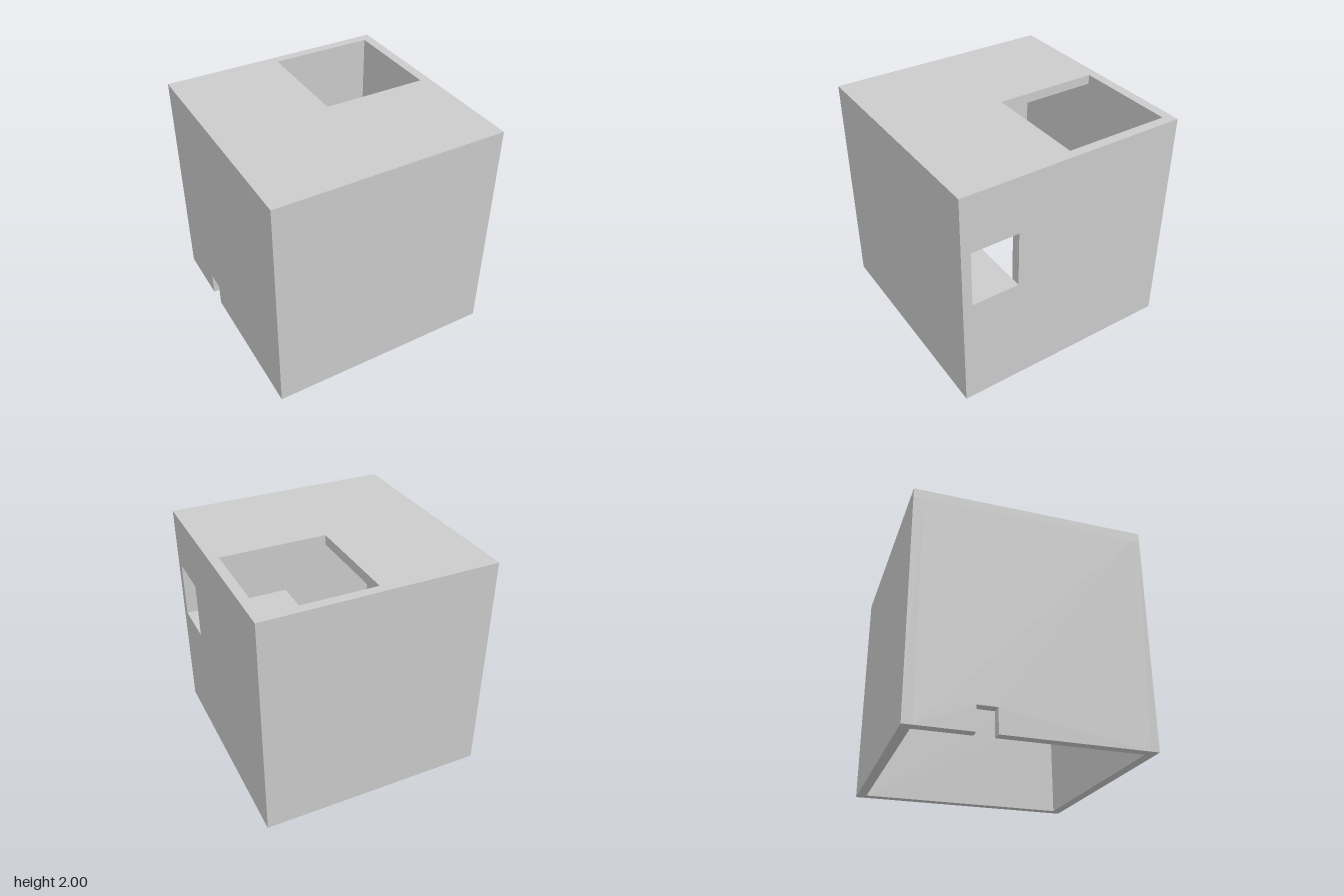
import * as THREE from 'three';

const T = 1 / 12; // wall thickness
const IN = 1 - T; // inner face distance from the centre

const material = new THREE.MeshStandardMaterial({ color: 0xcccccc, flatShading: true });

function polygon(points, Type = THREE.Shape) {
  return new Type(points.map(([u, v]) => new THREE.Vector2(u, v)));
}

function rect(u0, v0, u1, v1, Type) {
  return polygon([[u0, v0], [u1, v0], [u1, v1], [u0, v1]], Type);
}

function slab(shape) {
  return new THREE.ExtrudeGeometry(shape, { depth: T, bevelEnabled: false });
}

export function createModel() {
  const group = new THREE.Group();
  const add = (name, geometry) => {
    const mesh = new THREE.Mesh(geometry, material);
    mesh.name = name;
    group.add(mesh);
  };

  // Roof with a square opening in the back left quarter
  const roof = rect(-1, -1, 1, 1);
  roof.holes.push(rect(0, -IN, IN, 0, THREE.Path));
  add('roof', slab(roof).rotateX(Math.PI / 2).translate(0, 2, 0));

  // Plain front and back walls
  const wallHeight = 2 - T;
  for (const [name, z] of [['frontWall', 1 - T / 2], ['backWall', -1 + T / 2]]) {
    add(name, new THREE.BoxGeometry(2, wallHeight, T).translate(0, wallHeight / 2, z));
  }

  // Side wall at +x with a window beside the front wall
  const windowWall = rect(-IN, 0, IN, wallHeight);
  windowWall.holes.push(rect(0.5, 1, IN - 1e-4, 1.5, THREE.Path));
  add('windowWall', slab(windowWall).rotateY(-Math.PI / 2).translate(1, 0, 0));

  // Side wall at -x with a small doorway cut into its foot
  const doorWall = polygon([
    [-IN, 0], [-0.458, 0], [-0.458, 0.208], [-0.292, 0.208], [-0.292, 0],
    [IN, 0], [IN, wallHeight], [-IN, wallHeight],
  ]);
  add('doorWall', slab(doorWall).rotateY(-Math.PI / 2).translate(-IN, 0, 0));

  // Inner ledge level with the window sill
  const ledgeDepth = IN - 0.5;
  add('ledge', new THREE.BoxGeometry(IN, T, ledgeDepth)
    .translate(IN / 2, 1 - T / 2, 0.5 + ledgeDepth / 2));

  return group;
}
